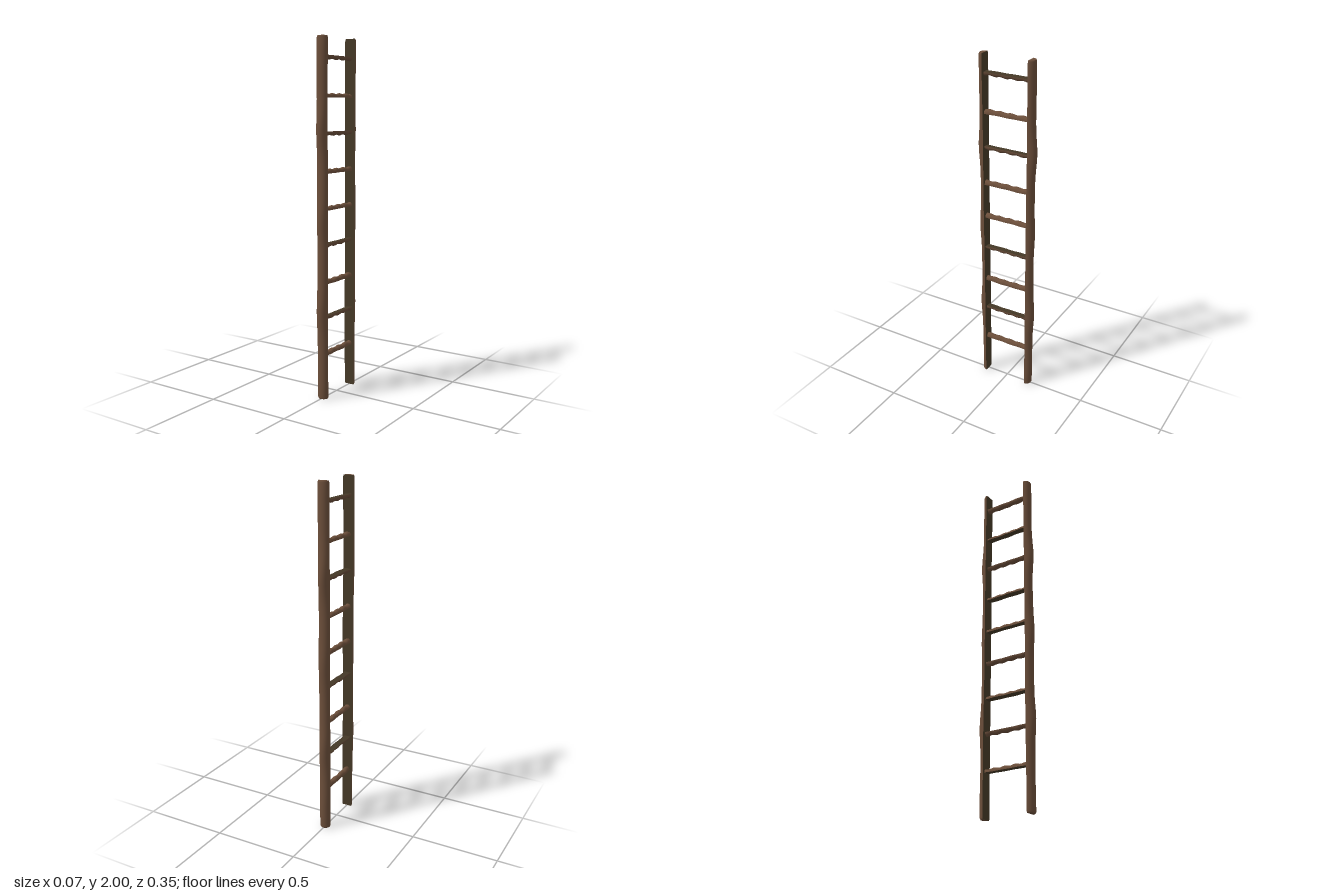
import * as THREE from 'three';

const bark = new THREE.MeshStandardMaterial({ name: 'brown bark', color: 0x6b4e3a });
const heart = new THREE.MeshStandardMaterial({ name: 'dark split wood', color: 0x453927 });

// Split log standing along y: domed towards +z, flat face on z = 0.
function halfLog(name, length, halfWidth, depth, rows, wear, bump) {
  const group = new THREE.Group();
  group.name = name;
  const shape = (geometry) => {
    const p = geometry.attributes.position;
    const step = length / rows;
    for (let i = 0; i < p.count; i++) {
      let y = p.getY(i);
      const row = Math.round((y + length / 2) / step);
      // rows next to the ends move outwards to form a worn, rounded edge
      if (row === 1) y = -length / 2 + wear;
      if (row === rows - 1) y = length / 2 - wear;
      const k = row === 0 || row === rows ? 0.88 : 1;
      const b = bump(y);
      p.setXYZ(i, p.getX(i) * halfWidth * k * b.width + b.shift, y, p.getZ(i) * depth * k * b.depth);
    }
    geometry.computeVertexNormals();
    return geometry;
  };
  const dome = new THREE.Mesh(
    shape(new THREE.CylinderGeometry(1, 1, length, 12, rows, false, -Math.PI / 2, Math.PI)), bark);
  dome.name = name + 'Bark';
  const flat = new THREE.Mesh(
    shape(new THREE.PlaneGeometry(2, length, 1, rows).rotateY(Math.PI)), heart);
  flat.name = name + 'SplitFace';
  group.add(dome, flat);
  return group;
}

const swell = (y, centre, size) => size * Math.exp(-(((y - centre) / 0.1) ** 2));

export function createModel() {
  const model = new THREE.Group();
  model.name = 'ladder';

  // Rails: knotty half logs, flat faces turned inwards
  const knots = {
    frontRail: [[0.5, 0.36], [0, 0.27], [-0.5, 0.38]],
    backRail: [[0.5, 0.36], [0, 0.2], [-0.5, 0.36], [-0.86, 0.12]],
  };
  for (const [name, list] of Object.entries(knots)) {
    const side = name === 'frontRail' ? 1 : -1;
    const rail = halfLog(name, 2, 0.032, 0.031, 48, 0.008, (y) => ({
      width: 1 + 0.02 * Math.sin(y * 9),
      depth: 1 + list.reduce((sum, [c, s]) => sum + swell(y, c, s), 0) + 0.02 * Math.sin(y * 17),
      shift: 0.001 * Math.sin(y * 6 + side),
    }));
    rail.position.set(0, 1, side * 0.134);
    if (side < 0) rail.rotation.y = Math.PI;
    model.add(rail);
  }

  // Rungs: thin split sticks, some with the flat side up, some down
  const flatUp = [false, true, false, true, false, false, true, false, true];
  flatUp.forEach((up, i) => {
    const rung = halfLog('rung' + (i + 1), 0.276, 0.0175, 0.021, 28, 0.004, (y) => ({
      width: 1 + 0.07 * Math.sin(y * 60 + i * 2),
      depth: 1 + 0.13 * Math.sin(y * 95 + i * 1.7),
      shift: 0.001 * Math.sin(y * 35 + i),
    }));
    rung.rotation.x = up ? Math.PI / 2 : -Math.PI / 2;
    const holder = new THREE.Group();
    holder.name = 'rungHolder' + (i + 1);
    holder.add(rung);
    holder.position.y = 0.255 + i * 0.2045 + (up ? 0.01 : -0.01);
    holder.rotation.z = 0.12 * Math.sin(i * 2.3);
    model.add(holder);
  });

  return model;
}
